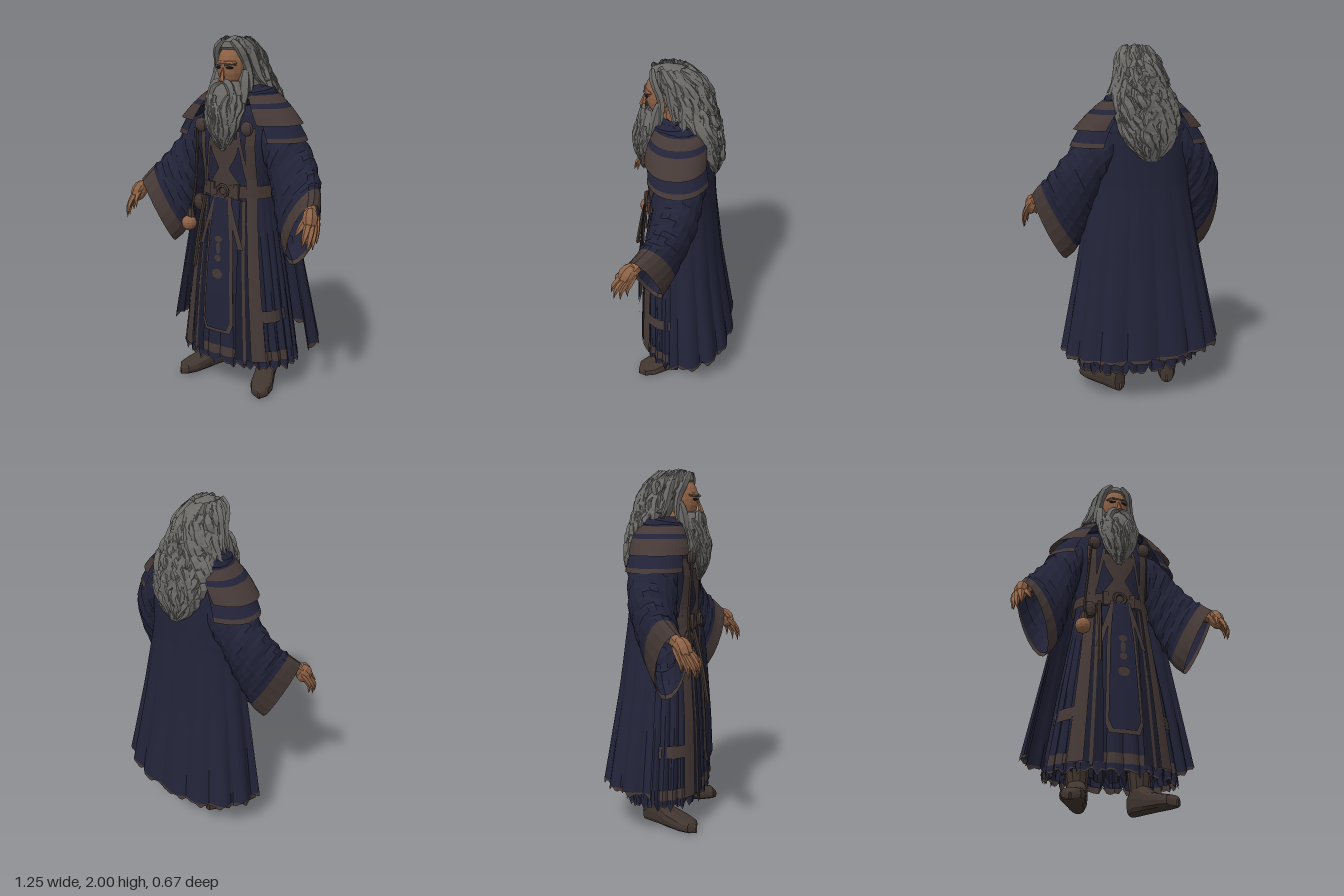
import * as THREE from 'three';
import { mergeGeometries } from 'three/addons/utils/BufferGeometryUtils.js';

const mat = (name, color) => new THREE.MeshStandardMaterial({ name, color, flatShading: true, side: THREE.DoubleSide });
const navy = mat('navy cloth', 0x222338), dark = mat('dark cloth', 0x1b1c2b), brown = mat('brown trim', 0x453936);
const leather = mat('boot leather', 0x41352f), grey = mat('grey hair', 0x6a6966), skin = mat('skin', 0x8e6246), black = mat('dark eyes', 0x1c1716);

// Horizontal sections: [y, half width, front z, back z], listed from the top down
const ROBE = [[1.72, .11, .08, -.1], [1.6, .24, .14, -.14], [1.45, .25, .17, -.15], [1.2, .2, .165, -.14], [1, .23, .19, -.16], [.6, .3, .22, -.18], [.15, .365, .24, -.21]];
const CAPE = [[1.7, .15, .1, -.1], [1.6, .26, .12, -.17], [1.45, .28, .16, -.185], [1.2, .29, .2, -.2], [.8, .365, .24, -.245], [.25, .47, .3, -.33]];
const MANTLE = [[1.74, .13, .1, -.1], [1.68, .23, .15, -.16], [1.61, .31, .19, -.18], [1.54, .375, .2, -.18]];
const UNDER = [[1.6, .28, .17, -.16], [1.52, .365, .19, -.185], [1.45, .4, .195, -.195]];
const HAIR = [[2, .002, .07, .066], [1.985, .052, .14, -.02], [1.94, .08, .16, -.085], [1.88, .095, .115, -.125], [1.8, .118, .08, -.155],
  [1.7, .155, .02, -.185], [1.6, .158, -.06, -.205], [1.5, .13, -.1, -.22], [1.42, .085, -.15, -.215], [1.37, .03, -.18, -.2]];
const BEARD = [[1.775, .07, .175, .08], [1.7, .105, .215, .08], [1.6, .1, .24, .1], [1.5, .07, .235, .14], [1.43, .04, .215, .16], [1.39, .01, .2, .18]];

let seed = 7;
const rnd = () => (seed = (seed * 16807) % 2147483647) / 2147483647;
const mix = THREE.MathUtils.lerp, rad = THREE.MathUtils.degToRad;
const spow = (v, e) => Math.sign(v) * Math.abs(v) ** e;

function section(rows, y) {
  let i = 0;
  while (i < rows.length - 2 && y < rows[i + 1][0]) i++;
  const t = (rows[i][0] - y) / (rows[i][0] - rows[i + 1][0]);
  const [w, f, b] = [1, 2, 3].map(k => mix(rows[i][k], rows[i + 1][k], t));
  return { w, c: (f + b) / 2, d: (f - b) / 2 };
}
// Point on a section; angle 0 is the front, the model's left is positive
function ring(rows, a, y, k, e) {
  const s = section(rows, y);
  return [s.w * k * spow(Math.sin(a), e), y, s.c + s.d * k * spow(Math.cos(a), e)];
}
function surface(fn, nu, nv) {
  const g = new THREE.PlaneGeometry(1, 1, nu, nv), p = g.attributes.position, uv = g.attributes.uv;
  for (let i = 0; i < p.count; i++) p.setXYZ(i, ...fn(uv.getX(i), uv.getY(i)));
  g.computeVertexNormals();
  return g;
}
function add(parent, name, geo, material, pos, scale, rot) {
  const m = new THREE.Mesh(geo, material);
  m.name = name;
  if (pos) m.position.set(...pos);
  if (scale) m.scale.set(...scale);
  if (rot) m.rotation.set(...rot);
  parent.add(m);
  return m;
}
const curve = pts => new THREE.CatmullRomCurve3(pts.map(p => new THREE.Vector3(...p)));
const tube = (pts, r) => new THREE.TubeGeometry(curve(pts), 8, r, 6);

// Tapered lock of hair along a path
function lock(pts, r, n = 7) {
  const c = curve(pts), ref = new THREE.Vector3(.3, .2, 1).normalize();
  return surface((u, v) => {
    const t = c.getTangent(v), s = new THREE.Vector3().crossVectors(t, ref).normalize(), q = new THREE.Vector3().crossVectors(s, t);
    const a = u * Math.PI * 2, k = r * Math.sin(Math.PI * (.2 + .79 * v));
    return c.getPoint(v).addScaledVector(s, k * Math.cos(a)).addScaledVector(q, k * .75 * Math.sin(a)).toArray();
  }, 5, n);
}
function lockOn(rows, a, y0, y1, r, wave) {
  const ph = rnd() * 6, pts = [];
  for (let i = 0; i <= 7; i++) pts.push(ring(rows, a + wave * Math.sin(ph + i * 1.6), mix(y0, y1, i / 7), 1.04 + wave * .4 * Math.sin(ph + i * 2), 1));
  return lock(pts, r, 12);
}
// Folded cloth between two heights, with a ragged lower edge
function cloth(rows, a0, a1, y0, y1, { folds = 0, amp = 0, rag = 0, k = 1, nu = 72, nv = 12, e = .85 } = {}) {
  return surface((u, v) => {
    const a = mix(a0, a1, u), y = mix(y1, y0, v), low = THREE.MathUtils.clamp((1.3 - y) / 1.1, 0, 1);
    const p = ring(rows, a, y, k + amp * low * (Math.abs(Math.sin(a * folds / 2)) - .5), e);
    p[1] += rag * (1 - v) * (Math.sin(a * 23) + Math.sin(a * 41 + 1));
    return p;
  }, nu, nv);
}
// Strip lying on the front of the robe; rows are [y, left x, right x]
function strip(rows, off, nv = 14) {
  return surface((u, v) => {
    const y = mix(rows.at(-1)[0], rows[0][0], v);
    let i = 0;
    while (i < rows.length - 2 && y < rows[i + 1][0]) i++;
    const t = (rows[i][0] - y) / (rows[i][0] - rows[i + 1][0]);
    const x = mix(mix(rows[i][1], rows[i + 1][1], t), mix(rows[i][2], rows[i + 1][2], t), u);
    const s = section(ROBE, y), p = 2.13;
    return [x, y, s.c + s.d * (1 - Math.min(1, Math.abs(x / s.w)) ** p) ** (1 / p) + off];
  }, 4, nv);
}

function buildArm() {
  const arm = new THREE.Group();
  // Bell sleeve rings: upper point, lower point, half width
  const R = [[.16, 1.63, -.02, .2, 1.3, -.02, .13], [.335, 1.52, 0, .23, 1.22, 0, .135], [.43, 1.4, .02, .27, 1.08, .02, .125],
    [.505, 1.29, .08, .31, .95, .05, .11], [.55, 1.22, .15, .36, .84, .08, .095], [.57, 1.17, .205, .41, .79, .11, .085]];
  const sleeve = (t0, t1, nv, k = 1) => surface((u, v) => {
    const f = Math.min(mix(t0, t1, v), 4.999), i = Math.floor(f), r = R[i].map((q, j) => mix(q, R[i + 1][j], f - i));
    const a = u * Math.PI * 2, fold = f < 3.75 ? .04 * Math.sin(f * 9 + 2 * a) : 0;
    const c = k * Math.cos(a) * (1 + fold) / 2, s = k * Math.sin(a) * r[6] * (1 + fold);
    const wx = -.13 * f, n = Math.hypot(wx, 1);
    return [(r[0] + r[3]) / 2 + c * (r[0] - r[3]) + s * wx / n, (r[1] + r[4]) / 2 + c * (r[1] - r[4]), (r[2] + r[5]) / 2 + c * (r[2] - r[5]) + s / n];
  }, 18, nv);
  add(arm, 'sleeve', sleeve(0, 3.75, 18), navy);
  add(arm, 'sleeveCuff', sleeve(3.75, 5, 3), brown);
  add(arm, 'sleeveLining', sleeve(3.4, 4.75, 4, .95), navy);
  add(arm, 'wristWrap', tube([[.5, 1.17, .12], [.55, 1.135, .19]], .038), brown);
  // Hand with bent fingers
  add(arm, 'wrist', tube([[.5, 1.18, .14], [.565, 1.12, .215]], .034), skin);
  add(arm, 'palm', new THREE.SphereGeometry(1, 8, 6), skin, [.572, 1.1, .235], [.04, .064, .052], [-.5, 0, .2]);
  [[.6, 1.08, .215, .615, .98, .24], [.6, 1.07, .24, .613, .955, .28], [.595, 1.07, .262, .6, .95, .315], [.58, 1.08, .275, .578, .975, .33], [.555, 1.1, .255, .525, 1.02, .315]]
    .forEach(([x, y, z, X, Y, Z]) => add(arm, 'finger', lock([[x - .01, y + .03, z - .02], [x, y, z], [(x + X) / 2 + .006, (y + Y) / 2, (z + Z) / 2 + .012], [X, Y, Z]], .02, 6), skin));
  return arm;
}

function buildSide() {
  const side = new THREE.Group();
  const a0 = rad(30), a1 = rad(142);
  // Layered shoulder mantle in bands
  [[1.74, 1.69, navy], [1.69, 1.65, brown], [1.65, 1.625, navy], [1.625, 1.54, brown]].forEach(([t, b, m]) =>
    add(side, 'mantleBand', cloth(MANTLE, a0, a1, t, b, { nu: 18, nv: 2 }), m));
  [[1.6, 1.475, navy], [1.475, 1.45, brown]].forEach(([t, b, m]) =>
    add(side, 'underMantle', cloth(UNDER, rad(38), a1, t, b, { nu: 18, nv: 2 }), m));
  add(side, 'brooch', new THREE.SphereGeometry(.04, 10, 8), brown, [.15, 1.52, .18], [1, 1, .6]);
  // Front trims of the coat
  add(side, 'stole', strip([[1.52, .13, .18], [1.2, .13, .178], [.9, .155, .205], [.2, .21, .285]], .022), brown);
  add(side, 'coatEdge', strip([[1.12, .115, .13], [.18, .165, .182]], .018), brown);
  add(side, 'darkPleat', strip([[1.12, .1, .16], [.2, .11, .21]], .013), dark);
  add(side, 'robePatch', strip([[.5, .25, .315], [.43, .26, .325]], .024, 3), brown);
  add(side, 'collarEdge', strip([[1.5, .075, .095], [1.2, .13, .15]], .014), brown);
  add(side, 'beltTail', strip([[1.14, .03, .055], [.85, .115, .145]], .034), brown);
  // Boot, built as a loft from heel to toe: z, half width, height
  const B = [[-.085, .005, .05], [-.08, .04, .12], [-.03, .055, .16], [.03, .056, .15], [.09, .06, .105], [.18, .066, .08], [.24, .05, .065], [.268, .005, .035]];
  const boot = surface((u, v) => {
    const f = Math.min(v * 7, 6.999), i = Math.floor(f), [z, w, h] = B[i].map((q, k) => mix(q, B[i + 1][k], f - i)), a = u * Math.PI * 2;
    return [w * spow(Math.cos(a), .7), h / 2 + h / 2 * spow(Math.sin(a), .7), z];
  }, 14, 14);
  add(side, 'boot', boot, leather, [.18, 0, 0], null, [0, .38, 0]);
  add(side, 'bootShaft', new THREE.CylinderGeometry(.065, .055, .12, 10), leather, [.175, .17, -.02]);
  // Hair locks falling over the brow and shoulder
  add(side, 'sideHair', mergeGeometries([
    lock([[.03, 1.975, .14], [.075, 1.93, .13], [.095, 1.85, .095], [.12, 1.76, .09], [.125, 1.67, .11]], .026, 9),
    lock([[.03, 1.985, .1], [.085, 1.93, .06], [.115, 1.84, .04], [.14, 1.78, .03], [.185, 1.73, .02]], .03, 9),
    lock([[.09, 1.9, .02], [.12, 1.82, -.02], [.16, 1.74, -.02], [.2, 1.67, -.03]], .036, 8),
    lock([[.1, 1.86, .04], [.13, 1.81, .02], [.15, 1.77, .01], [.18, 1.765, -.01]], .022, 8)]), grey);
  add(side, 'moustache', lock([[.008, 1.765, .19], [.045, 1.75, .195], [.07, 1.69, .205], [.06, 1.62, .225]], .024), grey);
  add(side, 'cheekBeard', lock([[.088, 1.82, .1], [.093, 1.75, .12], [.1, 1.66, .14], [.07, 1.56, .18]], .035), grey);
  add(side, 'eyebrow', lock([[.01, 1.847, .186], [.04, 1.855, .182], [.072, 1.847, .152]], .007), grey);
  add(side, 'eye', new THREE.SphereGeometry(.011, 8, 6), black, [.036, 1.834, .173], [2, .6, .6], [0, .35, 0]);
  add(side, 'ear', new THREE.SphereGeometry(.025, 8, 6), skin, [.08, 1.82, .08], [.4, 1.2, .8]);
  return side;
}

export function createModel() {
  const g = new THREE.Group(), PI2 = Math.PI * 2;
  // Robe with a brown band at the front, ragged fringe and petticoats
  const pleat = { folds: 26, amp: .07, e: .94 }, h = rad(80);
  add(g, 'robe', cloth(ROBE, 0, PI2, 1.72, .255, { ...pleat, nv: 22, nu: 104 }), navy);
  add(g, 'robeBand', cloth(ROBE, -h, h, .255, .2, { ...pleat, nu: 48, nv: 1 }), brown);
  add(g, 'robeBack', cloth(ROBE, h, PI2 - h, .255, .2, { ...pleat, nu: 56, nv: 1 }), navy);
  add(g, 'robeFringe', cloth(ROBE, 0, PI2, .2, .165, { ...pleat, rag: .014, nu: 104, nv: 2 }), navy);
  add(g, 'fringeEdge', cloth(ROBE, 0, PI2, .18, .155, { ...pleat, k: .985, rag: .014, nu: 104, nv: 1 }), brown);
  [[.86, .18, navy], [.7, .2, dark]].forEach(([k, y, m]) =>
    add(g, 'petticoat', cloth(ROBE, 0, PI2, .42, y, { folds: 34, amp: .1, rag: .015, k, nu: 104, nv: 3 }), m));
  // Cape
  const c0 = rad(82), c1 = rad(278), fold = { folds: 16, amp: .08, nu: 80, e: .9 };
  add(g, 'cape', cloth(CAPE, c0, c1, 1.7, .28, { ...fold, nv: 18 }), navy);
  add(g, 'capeHem', cloth(CAPE, c0, c1, .28, .265, { ...fold, rag: .008, nv: 1 }), brown);
  add(g, 'cowl', new THREE.TorusGeometry(.135, .045, 8, 20), navy, [0, 1.69, 0], [1.15, .95, 1], [Math.PI / 2 + .15, 0, 0]);

  // Tabard, vest and belt
  add(g, 'tabardBorder', strip([[1.14, -.06, .06], [.9, -.085, .085], [.4, -.105, .105], [.35, -.085, .085]], .03), brown);
  add(g, 'tabard', strip([[1.13, -.045, .045], [.9, -.068, .068], [.42, -.088, .088], [.37, -.066, .066]], .037), navy);
  [[.9, .026, .018], [.85, .014, .04], [.79, .022, .02], [.7, .034, .03]].forEach(([y, w, t]) =>
    add(g, 'tabardOrnament', new THREE.CircleGeometry(1, 10), brown, [0, y, section(ROBE, y).c + section(ROBE, y).d + .041], [w, t, 1]));
  add(g, 'vest', strip([[1.46, -.1, .1], [1.38, -.085, .085], [1.29, -.035, .035], [1.2, -.1, .1]], .014), brown);
  add(g, 'belt', cloth(ROBE, 0, PI2, 1.2, 1.13, { k: 1.09, nu: 40, nv: 2, e: .94 }), leather);
  add(g, 'buckle', new THREE.TorusGeometry(.032, .012, 6, 12), brown, [0, 1.165, .195]);
  [-.15, -.08, .08, .15].forEach(x => add(g, 'beltLoop', new THREE.BoxGeometry(.03, .085, .02), brown, [x, 1.165, Math.abs(x) > .1 ? .125 : .172]));

  // Hanging cord with a round flask, and a strap
  add(g, 'cord', tube([[-.17, 1.5, .19], [-.185, 1.3, .18], [-.2, 1.15, .18], [-.215, .98, .21]], .008), leather);
  add(g, 'flask', new THREE.SphereGeometry(.044, 12, 9), skin, [-.22, .955, .215]);
  add(g, 'flaskNeck', new THREE.CylinderGeometry(.018, .026, .05, 8), brown, [-.215, 1.015, .205]);
  add(g, 'pouch', new THREE.SphereGeometry(.04, 8, 6), leather, [-.17, 1.08, .175], [1, 1.3, .7]);
  add(g, 'hangingStrap', tube([[-.12, 1.13, .19], [-.13, .95, .235], [-.14, .73, .275]], .012), leather);

  // Head
  add(g, 'head', new THREE.SphereGeometry(1, 16, 12), skin, [0, 1.835, .09], [.08, .125, .092]);
  add(g, 'neck', new THREE.CylinderGeometry(.06, .075, .16, 10), skin, [0, 1.71, .05]);
  add(g, 'nose', new THREE.ConeGeometry(.02, .085, 5), skin, [0, 1.805, .188], [1, 1, .9], [-.22, 0, 0]);
  add(g, 'browRidge', new THREE.SphereGeometry(1, 10, 6), skin, [0, 1.858, .15], [.068, .018, .035]);

  // Hair and beard, each a mass with wavy locks
  const hair = [cloth(HAIR, 0, PI2, 2, 1.37, { nu: 24, nv: 20, e: 1 })];
  for (let i = 0; i < 95; i++) {
    const high = i % 3 === 0, y0 = high ? 1.98 : 1.92 - rnd() * .28;
    hair.push(lockOn(HAIR, rad(high ? mix(55, 305, rnd()) : mix(80, 280, rnd())), y0, Math.max(1.38, y0 - .2 - rnd() * .2), .019 + rnd() * .017, .15));
  }
  add(g, 'hair', mergeGeometries(hair), grey);
  const beard = [cloth(BEARD, 0, PI2, 1.765, 1.39, { nu: 18, nv: 10, e: 1 })];
  for (let i = 0; i < 34; i++) {
    const y0 = 1.75 - rnd() * .17;
    beard.push(lockOn(BEARD, rad(mix(-95, 95, rnd())), y0, Math.max(1.4, y0 - .17 - rnd() * .13), .014 + rnd() * .01, .1));
  }
  add(g, 'beard', mergeGeometries(beard), grey);

  // Mirrored arms and sides
  for (const s of [1, -1]) for (const [name, build] of [['Arm', buildArm], ['Side', buildSide]]) {
    const part = build();
    part.name = (s > 0 ? 'left' : 'right') + name;
    part.scale.x = s;
    g.add(part);
  }
  return g;
}
